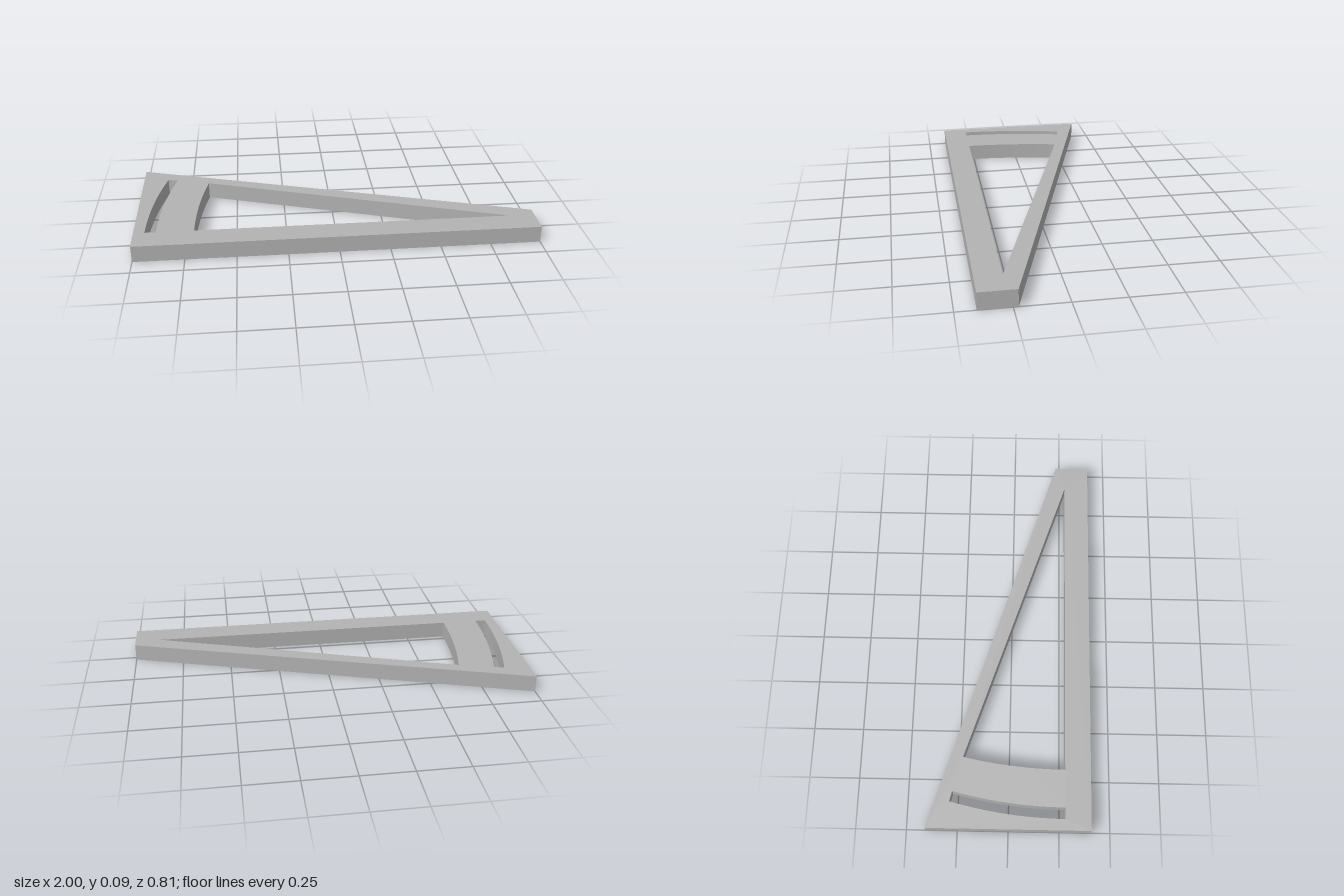
import * as THREE from 'three';

const HEIGHT = 0.085;

// Points of a shallow arc that starts parallel to z at (x0, z0) and bends toward +x up to z1
function arc(x0, z0, x1, z1, steps = 16) {
  const dx = x1 - x0, dz = z0 - z1;
  const r = (dx * dx + dz * dz) / (2 * dx);
  const sweep = Math.asin(dz / r);
  return Array.from({ length: steps + 1 }, (_, i) => {
    const a = (sweep * i) / steps;
    return [x0 + r * (1 - Math.cos(a)), z0 - r * Math.sin(a)];
  });
}

// Plan coordinates (x, z) to shape coordinates
const plan = (points) => points.map(([x, z]) => new THREE.Vector2(x, -z));

export function createModel() {
  const group = new THREE.Group();
  group.name = 'wedgeFrame';
  const grey = new THREE.MeshStandardMaterial({ color: 0xb3b3b3 });
  grey.name = 'plain grey';

  // Tapered outline
  const outline = new THREE.Shape(plan([[-1, 0.404], [1, 0.404], [1, 0.227], [-1, -0.404]]));

  // Large opening with a curved short side
  const opening = [...arc(-0.705, 0.277, -0.65, -0.23), [0.87, 0.277]];

  // Narrow curved slot near the wide end
  const slot = [
    ...arc(-0.945, 0.277, -0.87, -0.29),
    ...arc(-0.89, 0.277, -0.82, -0.277).reverse(),
  ];

  outline.holes.push(new THREE.Path(plan(opening)), new THREE.Path(plan(slot)));

  const geometry = new THREE.ExtrudeGeometry(outline, { depth: HEIGHT, bevelEnabled: false });
  geometry.rotateX(-Math.PI / 2);

  const plate = new THREE.Mesh(geometry, grey);
  plate.name = 'slottedPlate';
  group.add(plate);
  return group;
}
